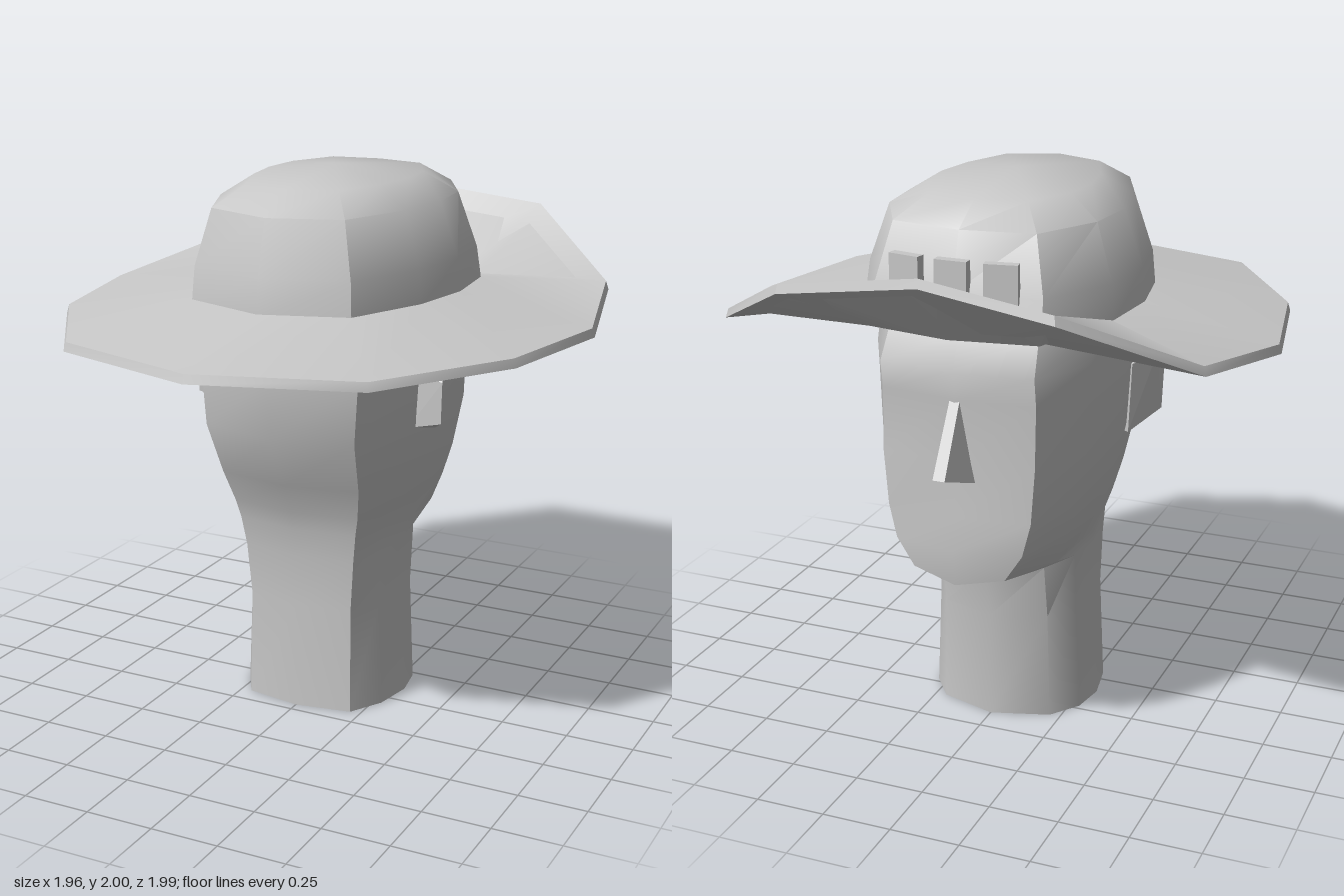
import * as THREE from 'three';
import { toCreasedNormals } from 'three/addons/utils/BufferGeometryUtils.js';
import { ConvexGeometry } from 'three/addons/geometries/ConvexGeometry.js';

const grey = new THREE.MeshStandardMaterial({ color: 0xc8c8c8, side: THREE.DoubleSide });
grey.name = 'pale grey';

// Skins a stack of closed rings; each ring is a half outline [x, y, z] running
// from the rear centre (+z) to the face centre (-z), mirrored in x.
function loft(halfRings, crease) {
  const rings = halfRings.map((h) => [
    ...h,
    ...h.slice(1, -1).reverse().map(([x, y, z]) => [-x, y, z]),
  ]);
  const n = rings[0].length;
  const index = [];
  for (let r = 0; r < rings.length - 1; r++) {
    for (let i = 0; i < n; i++) {
      const j = (i + 1) % n;
      const a = r * n + i, b = r * n + j, c = a + n, d = b + n;
      index.push(a, b, d, a, d, c);
    }
  }
  const g = new THREE.BufferGeometry();
  g.setAttribute('position', new THREE.Float32BufferAttribute(rings.flat(2), 3));
  g.setIndex(index);
  return toCreasedNormals(g, crease);
}

function add(group, name, geometry) {
  const mesh = new THREE.Mesh(geometry, grey);
  mesh.name = name;
  group.add(mesh);
  return mesh;
}

// Flat-sided solid around a few corners
const solid = (pts) => new ConvexGeometry(pts.map((p) => new THREE.Vector3(...p)));

// Head ring from key sizes: rear z, rear corner, half width, face corner, face z
function headRing(y, rear, bx, bz, wide, wz, fx, fz, face, jaw = [0, 0, 0, 0, 0, 0, 0]) {
  const points = [
    [0, rear],
    [bx, bz],
    [bx + (wide - bx) * 0.72, bz + (wz - bz) * 0.45],
    [wide, wz],
    [wide - (wide - fx) * 0.22, wz + (fz - wz) * 0.55],
    [fx, fz],
    [0, face],
  ];
  return points.map(([x, z], i) => [x, y + jaw[i], z]);
}

export function createModel() {
  const model = new THREE.Group();
  model.name = 'hattedHead';

  // Neck and head, open at the bottom
  add(model, 'headAndNeck', loft([
    headRing(0, 0.21, 0.21, 0.175, 0.31, -0.1, 0.21, -0.335, -0.4),
    headRing(0.4, 0.197, 0.205, 0.165, 0.29, -0.1, 0.2, -0.335, -0.4),
    headRing(0.6, 0.207, 0.22, 0.175, 0.292, -0.1, 0.2, -0.37, -0.44, [0, 0, 0, 0.02, 0.02, 0.01, 0]),
    headRing(0.65, 0.225, 0.235, 0.19, 0.3, -0.13, 0.17, -0.665, -0.7, [0.06, 0.06, 0.05, 0.03, 0.02, 0.03, 0]),
    headRing(0.78, 0.245, 0.25, 0.205, 0.335, -0.15, 0.235, -0.665, -0.715),
    headRing(0.9, 0.3, 0.275, 0.25, 0.372, -0.17, 0.265, -0.66, -0.697),
    headRing(1.1, 0.4, 0.295, 0.33, 0.418, -0.18, 0.28, -0.66, -0.695),
    headRing(1.32, 0.425, 0.31, 0.335, 0.43, -0.18, 0.28, -0.65, -0.685),
    headRing(1.42, 0.432, 0.315, 0.335, 0.43, -0.18, 0.28, -0.665, -0.695),
    headRing(1.54, 0.432, 0.315, 0.335, 0.43, -0.18, 0.27, -0.6, -0.64),
  ], 0.7));

  // Nose wedge
  add(model, 'nose', solid([
    [-0.018, 1.33, -0.675], [0.018, 1.33, -0.675],
    [-0.08, 1.03, -0.67], [0.08, 1.03, -0.67],
    [-0.022, 1.08, -0.82], [0.022, 1.08, -0.82],
  ]));

  // Ears, flaring away from the head toward the rear
  for (const s of [1, -1]) {
    const rim = [
      [0.5, 1.28, 0.04], [0.485, 1.34, 0], [0.425, 1.32, -0.095],
      [0.415, 1.065, -0.1], [0.495, 1.125, 0.035],
    ];
    const root = [[0.37, 1.3, 0.02], [0.36, 1.09, 0.02], [0.38, 1.07, -0.09], [0.38, 1.31, -0.09]];
    add(model, s > 0 ? 'leftEar' : 'rightEar',
      solid([...rim, ...root].map(([x, y, z]) => [s * x, y, z])));
  }

  const hat = new THREE.Group();
  hat.name = 'hat';
  model.add(hat);

  // Crown: one outline shrinking upward, leaning in a little more over the face
  const outline = [[0, 0.49], [0.31, 0.39], [0.44, 0.1], [0.485, -0.15], [0.46, -0.41], [0.31, -0.69], [0, -0.74]];
  const mid = -0.125;
  const crownRing = (y, sx, sRear, sFace) =>
    outline.map(([x, z]) => [x * sx, y, mid + (z - mid) * (z > mid ? sRear : sFace)]);
  add(hat, 'crown', loft([
    crownRing(1.56, 1, 1, 1),
    crownRing(1.69, 0.975, 0.98, 0.92),
    crownRing(1.89, 0.83, 0.89, 0.82),
    crownRing(1.965, 0.58, 0.67, 0.61),
    crownRing(2, 0, 0, 0),
  ], 0.75));

  // Brim: underside, thin rim and top, turned up over the face
  const edge = [
    [0, 1.45, 0.985], [0.57, 1.45, 0.81], [0.88, 1.45, 0.33], [0.98, 1.45, -0.18],
    [0.865, 1.51, -0.68], [0.48, 1.72, -1], [0, 1.775, -0.955],
  ];
  const topEdge = edge.map(([x, y, z]) => [x * 0.99, y + 0.032, z * 0.99]);
  const brimInner = crownRing(1.572, 0.99, 0.99, 0.99).map(([x, y, z]) => [x, z < -0.6 ? 1.545 : y, z]);
  add(hat, 'brim', loft([crownRing(1.53, 0.85, 0.85, 0.85), edge, topEdge, brimInner], 0.75));

  // Three small tabs on the crown above the face
  for (const i of [-1, 0, 1]) {
    const tab = add(hat, 'crownTab', new THREE.BoxGeometry(0.115, 0.15, 0.035));
    tab.position.set(i * 0.17, 1.73, i ? -0.675 : -0.687);
    tab.rotation.y = -i * 0.17;
  }

  return model;
}
